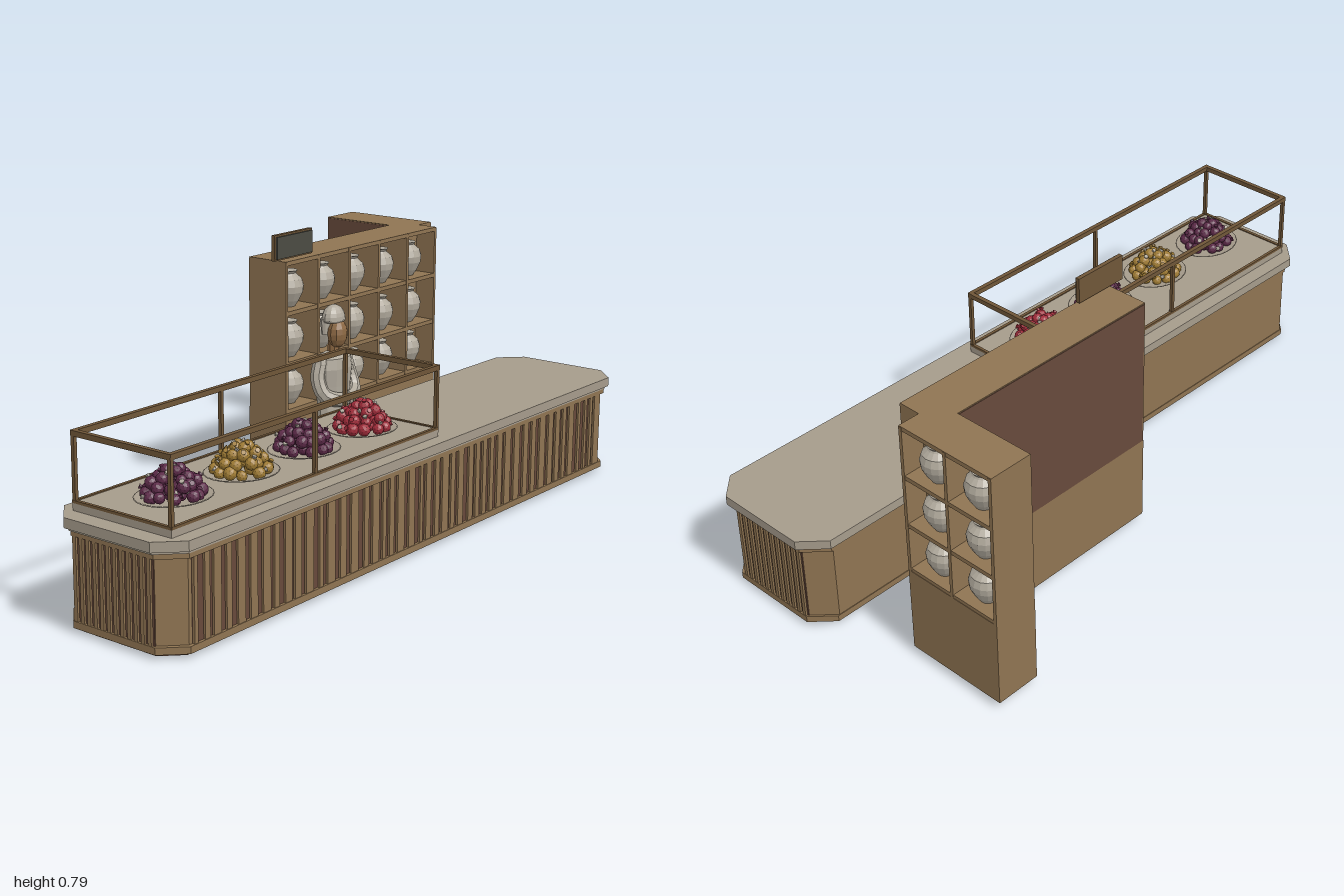
import * as THREE from 'three';
import { mergeGeometries } from 'three/addons/utils/BufferGeometryUtils.js';

const mat = (name, color, flatShading = false) => {
  const m = new THREE.MeshStandardMaterial({ color, flatShading });
  m.name = name;
  return m;
};

export function createModel() {
  const wood = mat('wood', 0x8f7452);
  const darkPanel = mat('darkPanel', 0x67493b);
  const frameWood = mat('frameWood', 0x6f5638);
  const stone = mat('stone', 0xa59b8b);
  const pale = mat('paleCeramicAndCloth', 0xb0a99c, true);
  const charcoal = mat('charcoal', 0x4b4b43, true);
  const skin = mat('skin', 0x8c6843, true);
  const purple = mat('purpleFruit', 0x5c2a48, true);
  const gold = mat('goldFruit', 0xa07c34, true);
  const red = mat('redFruit', 0xa02c3a, true);

  const model = new THREE.Group();
  model.name = 'fruitStall';
  let seed = 7;
  const rand = () => (seed = (seed * 16807) % 2147483647) / 2147483647;

  const add = (parent, name, geo, material, x = 0, y = 0, z = 0) => {
    const mesh = new THREE.Mesh(geo, material);
    mesh.name = name;
    mesh.position.set(x, y, z);
    parent.add(mesh);
    return mesh;
  };
  // Box given by its minimum and maximum corners
  const box = (parent, name, material, x0, x1, y0, y1, z0, z1) =>
    add(parent, name, new THREE.BoxGeometry(x1 - x0, y1 - y0, z1 - z0), material,
      (x0 + x1) / 2, (y0 + y1) / 2, (z0 + z1) / 2);
  // Slab with four cut corners
  const slab = (parent, name, material, hx, z0, z1, c, y0, y1) => {
    const pts = [[-hx + c, -z1], [hx - c, -z1], [hx, -z1 + c], [hx, -z0 - c],
      [hx - c, -z0], [-hx + c, -z0], [-hx, -z0 - c], [-hx, -z1 + c]];
    const geo = new THREE.ExtrudeGeometry(new THREE.Shape(pts.map(p => new THREE.Vector2(...p))),
      { depth: y1 - y0, bevelEnabled: false });
    geo.rotateX(-Math.PI / 2);
    return add(parent, name, geo, material, 0, y0, 0);
  };

  // Counter
  const counter = new THREE.Group();
  counter.name = 'counter';
  model.add(counter);
  slab(counter, 'plinth', darkPanel, 0.965, 0.09, 0.425, 0.05, 0, 0.012);
  slab(counter, 'counterBody', wood, 0.976, 0.07, 0.437, 0.055, 0.012, 0.262);
  slab(counter, 'lowerMoulding', wood, 0.985, 0.068, 0.447, 0.058, 0.012, 0.03);
  slab(counter, 'upperMoulding', wood, 0.985, 0.068, 0.447, 0.058, 0.243, 0.256);
  slab(counter, 'worktopUnderside', stone, 0.99, 0.065, 0.448, 0.06, 0.256, 0.264);
  slab(counter, 'worktop', stone, 1, 0.057, 0.456, 0.063, 0.264, 0.29);

  // Front panel with unevenly spaced slats
  box(counter, 'frontPanel', darkPanel, -0.91, 0.91, 0.03, 0.243, 0.436, 0.439);
  for (let x = -0.91; x < 0.9;) {
    const w = 0.012 + rand() * 0.02;
    box(counter, 'frontSlat', wood, x, Math.min(x + w, 0.91), 0.03, 0.243, 0.438, 0.445);
    x += w + 0.01 + rand() * 0.016;
  }
  // End panels with regular slats
  for (const s of [-1, 1]) {
    const end = (name, material, z0, z1, d0, d1) =>
      box(counter, name, material, Math.min(s * d0, s * d1), Math.max(s * d0, s * d1), 0.03, 0.243, z0, z1);
    end('endPanel', darkPanel, 0.125, 0.383, 0.975, 0.978);
    for (let i = 0; i < 12; i++) {
      const z = 0.13 + i * 0.0215;
      end('endSlat', wood, z, z + 0.011, 0.977, 0.984);
    }
  }

  // Display case: tray and open frame
  const display = new THREE.Group();
  display.name = 'displayCase';
  model.add(display);
  const [dx0, dx1, dz0, dz1] = [-0.95, 0.1, 0.1, 0.415];
  box(display, 'displayTray', stone, dx0, dx1, 0.29, 0.313, dz0, dz1);
  for (const [y0, y1, t] of [[0.309, 0.316, 0.008], [0.473, 0.487, 0.012]]) {
    box(display, 'frontRail', frameWood, dx0, dx1, y0, y1, dz1 - t, dz1 + 0.001);
    box(display, 'backRail', frameWood, dx0, dx1, y0, y1, dz0 - 0.001, dz0 + t);
    box(display, 'sideRail', frameWood, dx0 - 0.001, dx0 + t, y0, y1, dz0, dz1);
    box(display, 'sideRail', frameWood, dx1 - t, dx1 + 0.001, y0, y1, dz0, dz1);
  }
  for (const z of [dz0, dz1 - 0.01]) {
    for (const x of [dx0, -0.43, dx1 - 0.01])
      box(display, 'post', frameWood, x, x + 0.01, 0.313, 0.475, z, z + 0.01);
  }

  // Plates of piled fruit
  const plateProfile = [[0, 0], [0.06, 0], [0.104, 0.012], [0.1, 0.014], [0.06, 0.005], [0, 0.005]]
    .map(p => new THREE.Vector2(...p));
  const rings = [[12, 0.068, 0.018], [8, 0.042, 0.022], [10, 0.055, 0.04], [7, 0.036, 0.055], [4, 0.016, 0.071]];
  const fruitPile = (x, material) => {
    const pile = new THREE.Group();
    pile.name = 'fruitPlate';
    pile.position.set(x, 0.314, 0.28);
    model.add(pile);
    add(pile, 'plate', new THREE.LatheGeometry(plateProfile, 24), stone).scale.z = 0.86;
    const fruits = [], tips = [];
    for (const [n, r, y] of rings) {
      for (let i = 0; i < n; i++) {
        const a = (i + rand() * 0.6) / n * Math.PI * 2;
        const size = 0.014 + rand() * 0.004;
        const tilt = new THREE.Matrix4().makeRotationFromEuler(
          new THREE.Euler((rand() - 0.5) * 2.4, 0, (rand() - 0.5) * 2.4));
        tilt.setPosition(r * Math.cos(a), y + rand() * 0.006, r * Math.sin(a) * 0.92);
        fruits.push(new THREE.IcosahedronGeometry(size, 1).applyMatrix4(tilt));
        const crown = new THREE.CylinderGeometry(0.007, 0.004, 0.008, 6).translate(0, size + 0.001, 0);
        (i % 3 ? fruits : tips).push((i % 3 ? crown.toNonIndexed() : crown).applyMatrix4(tilt));
      }
    }
    add(pile, 'fruits', mergeGeometries(fruits), material);
    add(pile, 'paleCrowns', mergeGeometries(tips), pale);
  };
  [purple, gold, purple, red].forEach((m, i) => fruitPile(-0.795 + i * 0.245, m));

  // Shelf units: cupboard below, three rows of jars above
  const jarGeo = new THREE.LatheGeometry([[0, 0], [0.022, 0], [0.034, 0.018], [0.045, 0.042], [0.047, 0.06],
    [0.041, 0.079], [0.027, 0.091], [0.024, 0.096], [0.029, 0.103], [0.022, 0.103], [0, 0.094]]
    .map(p => new THREE.Vector2(...p)), 16);
  const shelfUnit = (name, length, depth, cols, jarZ) => {
    const unit = new THREE.Group();
    unit.name = name;
    model.add(unit);
    const h = length / 2, d = depth / 2, step = (length - 0.01) / cols;
    box(unit, 'cupboard', wood, -h, h, 0.02, 0.27, -d, d);
    box(unit, 'backPanel', darkPanel, -h + 0.004, h - 0.004, 0.27, 0.703, -d, -d + 0.008);
    for (const y of [0.268, 0.406, 0.551, 0.694])
      box(unit, 'shelfBoard', wood, -h, h, y, y + 0.012, -d + 0.002, d - 0.001);
    for (let i = 0; i <= cols; i++) {
      const x = -h + i * step;
      box(unit, 'upright', wood, x, x + 0.01, 0.27, 0.704, -d + 0.001, d);
      if (i < cols) for (const y of [0.28, 0.418, 0.563])
        add(unit, 'jar', jarGeo, pale, x + 0.005 + step / 2, y, jarZ);
    }
    return unit;
  };
  shelfUnit('mainShelf', 0.73, 0.135, 5, 0.01).position.set(0.435, 0, -0.1525);
  const wing = shelfUnit('sideShelf', 0.306, 0.13, 2, 0.014);
  wing.position.set(0.8, 0, -0.304);
  wing.rotation.y = Math.PI / 2;

  // Blank sign board above the shelf
  box(model, 'signBoard', frameWood, 0.03, 0.195, 0.713, 0.785, -0.104, -0.092);
  box(model, 'signFace', charcoal, 0.035, 0.19, 0.718, 0.78, -0.092, -0.086);

  // Shopkeeper
  const keeper = new THREE.Group();
  keeper.name = 'shopkeeper';
  keeper.position.set(0.187, 0, -0.007);
  model.add(keeper);
  add(keeper, 'trousers', new THREE.CylinderGeometry(0.05, 0.046, 0.23, 10), charcoal, 0, 0.125, 0).scale.z = 0.72;
  const tunic = [[0, 0.225], [0.062, 0.225], [0.058, 0.29], [0.062, 0.35], [0.068, 0.4], [0.062, 0.43],
    [0.03, 0.444], [0, 0.446]].map(p => new THREE.Vector2(...p));
  add(keeper, 'tunic', new THREE.LatheGeometry(tunic, 12), pale).scale.z = 0.66;
  add(keeper, 'neck', new THREE.CylinderGeometry(0.016, 0.018, 0.04, 8), skin, 0, 0.455, 0);
  add(keeper, 'face', new THREE.SphereGeometry(0.034, 10, 8), skin, 0, 0.497, 0.014).scale.set(0.95, 1.2, 0.8);
  add(keeper, 'cap', new THREE.SphereGeometry(0.04, 12, 6, 0, Math.PI * 2, 0, Math.PI / 2), pale, 0, 0.535, -0.001)
    .scale.set(1, 1.08, 0.78);
  add(keeper, 'capUnderside', new THREE.CylinderGeometry(0.04, 0.036, 0.006, 12), pale, 0, 0.533, -0.001).scale.z = 0.78;
  add(keeper, 'headCloth', new THREE.CylinderGeometry(0.04, 0.034, 0.045, 12), pale, 0, 0.517, -0.013).scale.z = 0.46;
  for (const s of [-1, 1]) {
    const v = (x, y, z) => new THREE.Vector3(s * x, y, z);
    const arm = new THREE.CatmullRomCurve3([v(0.056, 0.42, -0.004), v(0.071, 0.375, 0), v(0.068, 0.333, 0.018),
      v(0.04, 0.316, 0.038), v(0.008, 0.312, 0.048)]);
    add(keeper, 'sleeve', new THREE.TubeGeometry(arm, 10, 0.021, 8), pale);
    add(keeper, 'shoulder', new THREE.SphereGeometry(0.023, 8, 6), pale, s * 0.056, 0.418, -0.004);
    add(keeper, 'hand', new THREE.SphereGeometry(0.018, 8, 6), pale, s * 0.008, 0.312, 0.048);
  }
  return model;
}
